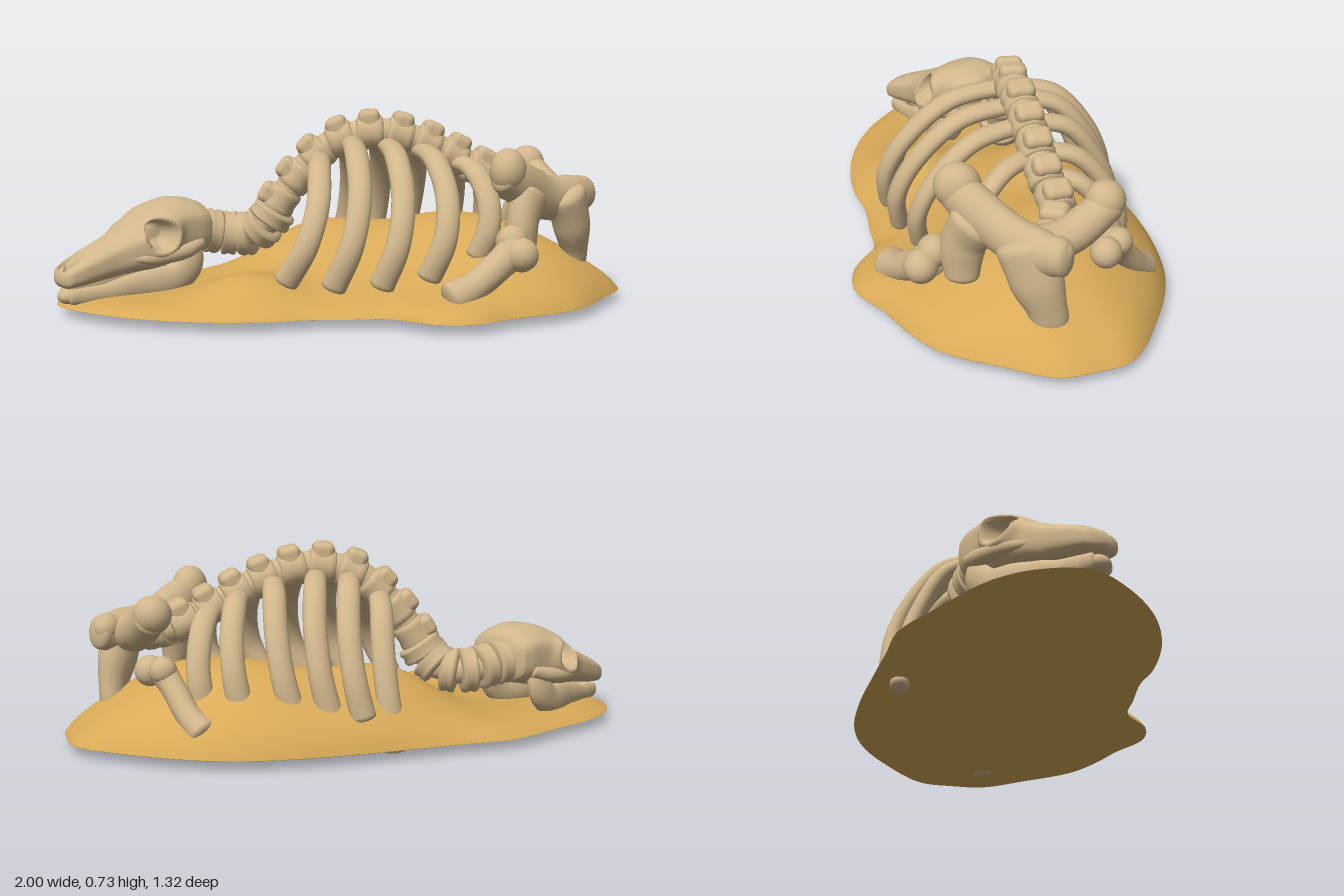
import * as THREE from 'three';
import { RoundedBoxGeometry } from 'three/addons/geometries/RoundedBoxGeometry.js';

const V = (x, y, z) => new THREE.Vector3(x, y, z);
const boneMat = new THREE.MeshStandardMaterial({ color: 0xd0b68b });
boneMat.name = 'bone';
const sandMat = new THREE.MeshStandardMaterial({ color: 0xd8aa58 });
sandMat.name = 'sand';

function mesh(name, geo, parent, mat = boneMat) {
  const m = new THREE.Mesh(geo, mat);
  m.name = name;
  parent.add(m);
  return m;
}

// Grid surface, closed in v; f(u, angle) gives a point
function loft(nu, nv, f) {
  const pos = [], idx = [];
  for (let i = 0; i <= nu; i++) {
    for (let j = 0; j < nv; j++) pos.push(...f(i / nu, (j / nv) * Math.PI * 2).toArray());
  }
  for (let i = 0; i < nu; i++) {
    for (let j = 0; j < nv; j++) {
      const k = (j + 1) % nv, a = i * nv + j, b = i * nv + k, c = a + nv, d = b + nv;
      idx.push(a, b, c, b, d, c);
    }
  }
  const g = new THREE.BufferGeometry();
  g.setAttribute('position', new THREE.Float32BufferAttribute(pos, 3));
  g.setIndex(idx);
  g.computeVertexNormals();
  return g;
}

const ease = (u) => (1 - Math.cos(Math.PI * u)) / 2;
const roundEnd = (d, r) => (d >= r ? 1 : Math.sqrt(Math.max(0, 1 - (1 - d / r) ** 2)));

// Round-ended limb along a path; flat scales its width along ref
function bone(name, parent, points, radii, ref = [0, 1, 0], flat = 1) {
  const curve = new THREE.CatmullRomCurve3(points.map((p) => V(...p)));
  const len = curve.getLength(), R = V(...ref);
  const radius = (u) => {
    const k = u * (radii.length - 1), i = Math.min(Math.floor(k), radii.length - 2);
    return THREE.MathUtils.lerp(radii[i], radii[i + 1], THREE.MathUtils.smoothstep(k - i, 0, 1));
  };
  return mesh(name, loft(36, 18, (q, a) => {
    const u = ease(q), T = curve.getTangentAt(u);
    const N = R.clone().cross(T).normalize(), B = T.clone().cross(N);
    const r = radius(u) * roundEnd(Math.min(u, 1 - u) * len, radius(u) * 0.45);
    return curve.getPointAt(u).addScaledVector(N, Math.cos(a) * r).addScaledVector(B, Math.sin(a) * r * flat);
  }), parent);
}

function knob(name, parent, p, r, s = [1, 1, 1]) {
  const m = mesh(name, new THREE.SphereGeometry(r, 20, 14), parent);
  m.position.set(...p);
  m.scale.set(...s);
}

// Sand mound: an outline filled with a sum of soft hills, steep at the rim, closed by a flat fan below
function sand(parent) {
  const outline = [
    [1, -0.32], [0.96, -0.13], [0.9, 0.08], [0.81, 0.2], [0.68, 0.32], [0.57, 0.44], [0.43, 0.475],
    [0.27, 0.43], [0.14, 0.47], [-0.02, 0.52], [-0.13, 0.58], [-0.34, 0.64], [-0.58, 0.65], [-0.8, 0.6],
    [-0.96, 0.51], [-1, 0.35], [-0.96, 0.19], [-0.8, -0.03], [-0.66, -0.2], [-0.5, -0.29], [-0.29, -0.41],
    [-0.07, -0.53], [0.17, -0.63], [0.38, -0.665], [0.62, -0.64], [0.88, -0.56], [0.95, -0.45],
  ];
  const edge = new THREE.CatmullRomCurve3(outline.map(([x, z]) => V(x, 0.035, z)), true);
  const hills = [[0.3, -0.3, 0.19, 0.38], [-0.2, -0.14, 0.16, 0.26], [-0.27, 0.38, 0.08, 0.19],
    [0.72, -0.2, 0.11, 0.3], [0.62, 0.25, 0.02, 0.2]];
  const centre = V(0.05, 0.035, -0.03), rings = 34;
  mesh('sandMound', loft(rings, 120, (u, a) => {
    if (u === 1) return centre;
    const q = Math.sin((u * rings / (rings - 1)) * Math.PI / 2);
    const p = centre.clone().lerp(edge.getPoint(a / (Math.PI * 2)), q);
    let h = 0.02;
    for (const [x, z, amp, s] of hills) h += amp * Math.exp(-((p.x - x) ** 2 + (p.z - z) ** 2) / (s * s));
    h += 0.006 * Math.sin(9 * p.x + 4 * p.z) * Math.sin(8 * p.z - 3 * p.x);
    const rim = 0.025 + 0.03 * THREE.MathUtils.smoothstep(p.x - p.z, -0.5, 0.6);
    p.y += h * (1 - q ** 5) + rim * (1 - q ** 18);
    return p;
  }), parent, sandMat);
}

// Backbone: spool-shaped vertebrae with blocky processes
function spine(parent) {
  const pts = [[-0.62, 0.27, 0.1], [-0.56, 0.262, 0.06], [-0.47, 0.245, 0.005], [-0.38, 0.25, 0],
    [-0.31, 0.305, 0.01], [-0.25, 0.4, 0], [-0.165, 0.51, -0.02], [-0.06, 0.605, -0.045], [0.09, 0.642, -0.08],
    [0.23, 0.615, -0.13], [0.36, 0.555, -0.18], [0.48, 0.485, -0.23], [0.59, 0.43, -0.28], [0.7, 0.4, -0.27]];
  bone('spinalCore', parent, pts, [0.05, 0.055, 0.055, 0.05], [0, 0.3, 1]);
  const curve = new THREE.CatmullRomCurve3(pts.map((p) => V(...p))), len = curve.getLength();
  const spool = (r, h) => new THREE.LatheGeometry(
    [[0, -h], [0.75 * r, -h], [0.96 * r, -0.85 * h], [r, -0.5 * h], [0.93 * r, 0], [r, 0.5 * h],
      [0.96 * r, 0.85 * h], [0.75 * r, h], [0, h]].map(([x, y]) => new THREE.Vector2(x, y)), 24).rotateX(Math.PI / 2);
  const add = (d, neck) => {
    const T = curve.getTangentAt(d / len);
    const side = V(0, 1, 0).cross(T).normalize(), up = T.clone().cross(side);
    const g = new THREE.Group();
    g.name = neck ? 'neckVertebra' : 'backVertebra';
    g.position.copy(curve.getPointAt(d / len));
    g.quaternion.setFromRotationMatrix(new THREE.Matrix4().makeBasis(side, up, T));
    mesh('vertebraBody', spool(neck ? 0.086 : 0.066, neck ? 0.032 : 0.052), g);
    if (!neck) {
      mesh('spinousProcess', new RoundedBoxGeometry(0.1, 0.085, 0.082, 5, 0.026), g).position.y = 0.047;
    }
    parent.add(g);
  };
  for (let i = 0; i < 6; i++) add(0.04 + i * 0.069, true);
  for (let d = 0.452; d < len - 0.04; d += 0.112) add(d, false);
}

// Ribs: from the backbone, out, and down into the sand; last value is the rearward bulge
function ribs(parent) {
  const list = [
    [[-0.12, 0.55, -0.04], [-0.13, 0.13, 0.4], 0.1], [[0, 0.61, -0.05], [0.05, 0.12, 0.41], 0.09],
    [[0.13, 0.6, -0.09], [0.21, 0.12, 0.34], 0.08], [[0.25, 0.58, -0.13], [0.36, 0.14, 0.24], 0.08],
    [[0.38, 0.53, -0.18], [0.5, 0.19, 0.03], 0.06],
    [[-0.14, 0.53, -0.05], [-0.25, 0, -0.32], 0.04], [[-0.03, 0.6, -0.07], [-0.14, 0.13, -0.4], 0.045],
    [[0.09, 0.61, -0.1], [-0.02, 0.14, -0.41], 0.045], [[0.24, 0.59, -0.16], [0.11, 0.15, -0.44], 0.045],
    [[0.36, 0.54, -0.2], [0.29, 0.18, -0.48], 0.03], [[0.45, 0.49, -0.24], [0.43, 0.18, -0.47], 0.02],
  ];
  for (const [S, E, bulge] of list) {
    const path = [[0, 1, 0], [0.45, 0.93, 0.6], [0.8, 0.65, 1], [0.98, 0.33, 0.8], [1, 0, 0]].map(([f, h, b]) => [
      S[0] + (E[0] - S[0]) * f + bulge * b, E[1] + (S[1] - E[1]) * h, S[2] + (E[2] - S[2]) * f]);
    bone(E[2] > 0 ? 'leftRib' : 'rightRib', parent, path, [0.03, 0.033, 0.033, 0.035], [0.93, 0, -0.36], 1.32);
  }
}

// Skull, built facing +z and then turned
function skull(parent) {
  const g = new THREE.Group();
  g.name = 'skull';
  g.position.set(-0.58, 0, 0.085);
  g.rotation.y = -0.65;
  parent.add(g);
  // half width, top and bottom at even steps toward the nose
  const sections = new THREE.CatmullRomCurve3([
    [0.12, 0.365, 0.2], [0.14, 0.395, 0.18], [0.145, 0.402, 0.165], [0.158, 0.388, 0.155], [0.16, 0.355, 0.145],
    [0.125, 0.31, 0.14], [0.1, 0.275, 0.13], [0.09, 0.245, 0.12], [0.08, 0.215, 0.11], [0.062, 0.175, 0.105],
  ].map((p) => V(...p)));
  const pw = (c) => Math.sign(c) * Math.abs(c) ** 0.7;
  const dent = (d, r) => 1 - THREE.MathUtils.smoothstep(d, r * 0.65, r);
  mesh('cranium', loft(100, 80, (q, a) => {
    const u = ease(q), s = -0.02 + 0.61 * u, c = sections.getPoint(u);
    const k = roundEnd(Math.min(u, 1 - u) * 0.61, 0.03);
    const p = V(c.x * k * pw(Math.cos(a)), (c.y + c.z) / 2 + ((c.y - c.z) / 2) * k * pw(Math.sin(a)), s);
    // flattened brow, raised rims around deep eye sockets, and the nose opening
    p.x *= 1 - 0.2 * THREE.MathUtils.smoothstep(Math.sin(a), 0.3, 1);
    const eye = Math.hypot(s - 0.235, p.y - 0.285);
    if (Math.abs(p.x) > 0.04) {
      p.x *= 1 + 0.1 * Math.exp(-(((eye - 0.068) / 0.018) ** 2)) - 0.55 * dent(eye, 0.06);
    }
    if (Math.sin(a) > 0) p.y -= 0.035 * dent(Math.hypot((Math.abs(p.x) - 0.022) * 2, s - 0.54), 0.04);
    return p;
  }), g);
  for (const m of [-1, 1]) {
    bone('jaw', g, [[0.105 * m, 0.25, 0.09], [0.12 * m, 0.17, 0.1], [0.115 * m, 0.112, 0.16], [0.09 * m, 0.1, 0.29],
      [0.06 * m, 0.08, 0.44], [0.03 * m, 0.075, 0.565]], [0.04, 0.058, 0.062, 0.048, 0.034, 0.028], [1, 0, 0], 0.6);
    bone('cheekbone', g, [[0.12 * m, 0.24, 0.05], [0.145 * m, 0.215, 0.14], [0.14 * m, 0.205, 0.24],
      [0.1 * m, 0.2, 0.34]], [0.025, 0.028, 0.028, 0.015]);
  }
  knob('chin', g, [0, 0.075, 0.55], 0.038, [1.1, 0.75, 1]);
}

// Hips: three raised knobs over an arch with two legs
function pelvis(parent) {
  const g = new THREE.Group();
  g.name = 'pelvis';
  parent.add(g);
  bone('hipBeam', g, [[0.6, 0.53, 0.11], [0.66, 0.47, 0], [0.73, 0.41, -0.12], [0.81, 0.4, -0.23],
    [0.87, 0.41, -0.34]], [0.055, 0.068, 0.068, 0.068, 0.05], [0, 1, 0], 1.25);
  bone('hipArm', g, [[0.8, 0.4, -0.2], [0.72, 0.41, -0.32], [0.61, 0.5, -0.47]], [0.07, 0.068, 0.06]);
  knob('hipKnob', g, [0.62, 0.525, 0.06], 0.08, [0.85, 1.05, 1.05]);
  knob('hipKnob', g, [0.62, 0.5, -0.44], 0.07);
  knob('rearKnob', g, [0.84, 0.42, -0.29], 0.062, [0.85, 0.9, 1]);
  bone('hipLeg', g, [[0.69, 0.45, -0.03], [0.67, 0.33, 0.035], [0.68, 0.18, 0.04]], [0.1, 0.08, 0.06], [1, 0, 0], 0.75);
  bone('hipLeg', g, [[0.79, 0.45, -0.18], [0.82, 0.32, -0.22], [0.83, 0.17, -0.27], [0.8, 0.025, -0.28]],
    [0.11, 0.095, 0.068, 0.05], [1, 0, 0], 0.75);
}

// Thigh bones with two-lobed heads
function thighs(parent) {
  bone('leftThigh', parent, [[0.68, 0.27, 0.14], [0.6, 0.19, 0.21], [0.53, 0.13, 0.28], [0.45, 0.085, 0.34]],
    [0.065, 0.055, 0.055, 0.068]);
  knob('leftThighHead', parent, [0.69, 0.24, 0.18], 0.062);
  knob('leftThighHead', parent, [0.65, 0.28, 0.14], 0.06);
  bone('rightThigh', parent, [[0.6, 0.33, -0.46], [0.53, 0.25, -0.5], [0.46, 0.16, -0.55], [0.39, 0.1, -0.585]],
    [0.055, 0.045, 0.045, 0.055]);
  knob('rightThighHead', parent, [0.63, 0.3, -0.45], 0.056);
  knob('rightThighHead', parent, [0.57, 0.31, -0.49], 0.05);
}

export function createModel() {
  const model = new THREE.Group();
  model.name = 'fossilSkeleton';
  [sand, spine, ribs, skull, pelvis, thighs].forEach((build) => build(model));
  return model;
}
